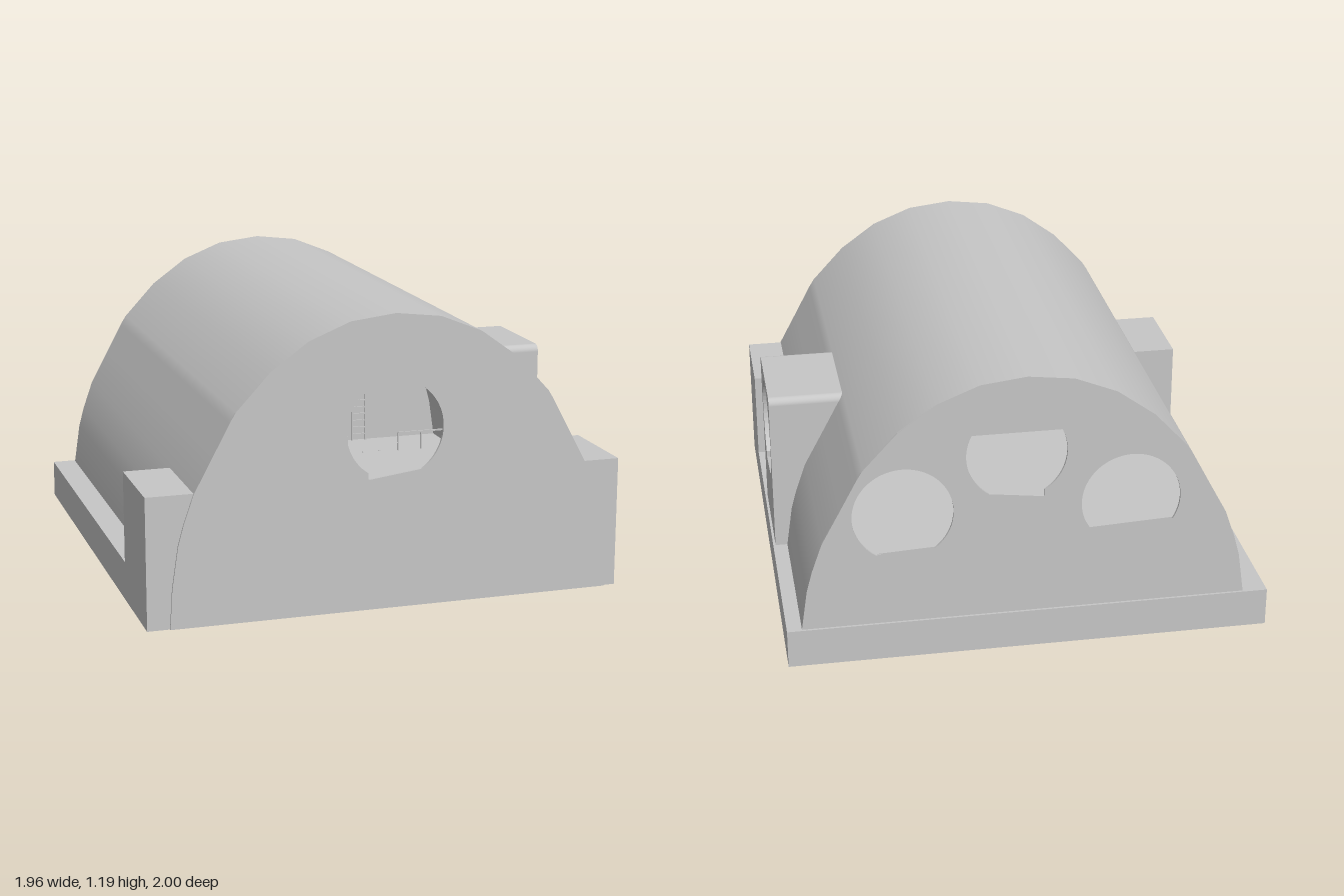
import * as THREE from 'three';

const CX = 0.02; // centre line of the vault
// right half of the vault section, bottom to apex (offset from centre line, height)
const HALF = [[0.91, 0], [0.9, 0.16], [0.875, 0.33], [0.852, 0.415], [0.81, 0.535], [0.737, 0.67],
  [0.665, 0.805], [0.642, 0.842], [0.505, 0.99], [0.353, 1.10], [0.184, 1.168], [0, 1.19]];
const HOLE_LOW = 3, HOLE_HIGH = 6; // section points bounding the side opening

const PROFILE = [
  ...HALF.map(([x, y]) => new THREE.Vector2(CX + x, y)),
  ...HALF.slice(0, -1).reverse().map(([x, y]) => new THREE.Vector2(CX - x, y)),
];

// outer x of the vault at a given height, +x side
function vaultX(y) {
  for (let i = 0; i < HALF.length - 1; i++) {
    const [x0, y0] = HALF[i], [x1, y1] = HALF[i + 1];
    if (y <= y1) return CX + x0 + (x1 - x0) * (y - y0) / (y1 - y0);
  }
  return CX;
}

// round doorway with a flat notched sill
function doorway(cx, cy) {
  const r = 0.2, w = 0.11, a = Math.acos(w / r), p = new THREE.Path();
  p.moveTo(cx + w, cy - 0.195);
  p.absarc(cx, cy, r, -a, Math.PI + a, false);
  p.lineTo(cx - w, cy - 0.195);
  p.closePath();
  return p;
}

// smooth strip of vault between two z values, over section points i0..i1
function vaultStrip(z0, z1, i0, i1) {
  const pos = [], nor = [], idx = [];
  for (let i = i0; i <= i1; i++) {
    const a = PROFILE[Math.max(i - 1, 0)], b = PROFILE[Math.min(i + 1, PROFILE.length - 1)];
    const t = b.clone().sub(a).normalize();
    for (const z of [z0, z1]) {
      pos.push(PROFILE[i].x, PROFILE[i].y, z);
      nor.push(t.y, -t.x, 0);
    }
    const k = (i - i0) * 2;
    if (i < i1) idx.push(k, k + 2, k + 1, k + 1, k + 2, k + 3);
  }
  const g = new THREE.BufferGeometry();
  g.setAttribute('position', new THREE.Float32BufferAttribute(pos, 3));
  g.setAttribute('normal', new THREE.Float32BufferAttribute(nor, 3));
  g.setIndex(idx);
  return g;
}

export function createModel() {
  const root = new THREE.Group();
  root.name = 'vaultedHall';
  const grey = new THREE.MeshStandardMaterial({ color: 0xc6c6c6, side: THREE.DoubleSide });
  grey.name = 'plain grey';

  function add(name, geometry, parent = root) {
    const m = new THREE.Mesh(geometry, grey);
    m.name = name;
    parent.add(m);
    return m;
  }
  function box(name, x0, x1, y0, y1, z0, z1, parent = root) {
    const m = add(name, new THREE.BoxGeometry(x1 - x0, y1 - y0, z1 - z0), parent);
    m.position.set((x0 + x1) / 2, (y0 + y1) / 2, (z0 + z1) / 2);
    return m;
  }
  function group(name) {
    const g = new THREE.Group();
    g.name = name;
    root.add(g);
    return g;
  }

  // base slab and the raised front platform
  box('baseSlab', -0.98, 0.98, 0, 0.16, -1, 0.99);
  box('frontPlatform', -0.98, 0.98, 0, 0.535, 0.6, 0.992);

  // vault shell, left open where the side doorway enters
  const vault = group('vault'), last = PROFILE.length - 1;
  const zBack = -0.99, zFront = 1, h0 = -0.265, h1 = 0.135;
  add('vaultBack', vaultStrip(zBack, h0, 0, last), vault);
  add('vaultBelowDoorway', vaultStrip(h0, h1, 0, HOLE_LOW), vault);
  add('vaultAboveDoorway', vaultStrip(h0, h1, HOLE_HIGH, last), vault);
  add('vaultFront', vaultStrip(h1, zFront, 0, last), vault);

  // end walls with round doorways
  function endWall(name, z, holes) {
    const s = new THREE.Shape(PROFILE);
    s.holes = holes.map(([x, y]) => doorway(x, y));
    const g = new THREE.ExtrudeGeometry(s, { depth: 0.01, bevelEnabled: false, curveSegments: 32 });
    add(name, g).position.z = z;
  }
  endWall('frontWall', zFront - 0.01, [[CX, 0.728]]);
  const backDoors = [[0.51, 0.635], [0.06, 0.865], [-0.4, 0.625]];
  endWall('backWall', zBack, backDoors);

  // side porch: rounded box with a doorway, its inner end following the vault
  const s0 = -0.175, s1 = 0.29, top = 0.84, r = 0.03;
  const porch = new THREE.Shape();
  porch.moveTo(s0, 0.15);
  porch.lineTo(s1, 0.15);
  porch.lineTo(s1, top - r);
  porch.absarc(s1 - r, top - r, r, 0, Math.PI / 2, false);
  porch.absarc(s0 + r, top - r, r, Math.PI / 2, Math.PI, false);
  porch.closePath();
  porch.holes.push(doorway(0.063, 0.607));
  const pg = new THREE.ExtrudeGeometry(porch, { depth: 1, bevelEnabled: false, curveSegments: 24 });
  pg.rotateY(Math.PI / 2);
  const p = pg.attributes.position;
  for (let i = 0; i < p.count; i++) p.setX(i, p.getX(i) > 0.5 ? 0.97 : vaultX(p.getY(i)));
  pg.computeVertexNormals();
  add('sidePorch', pg);

  // ladders from the floor up to each sill
  function ladder(name, x, z, yTop, turn = 0) {
    const g = group(name), w = 0.035, t = 0.004;
    for (const s of [-1, 1]) box('ladderRail', s * w - t, s * w + t, 0.16, yTop, -t, t, g);
    for (let y = 0.19; y < yTop - 0.01; y += 0.034) box('ladderRung', -w, w, y - 0.003, y + 0.003, -t, t, g);
    g.position.set(x, 0, z);
    g.rotation.y = turn;
  }
  for (const [x, y] of backDoors) ladder('backLadder', x + 0.015, -0.97, y - 0.195);
  ladder('platformLadder', 0.06, 0.59, 0.535);
  ladder('sideLadder', 0.8, -0.063, 0.412, Math.PI / 2);

  // railing along the platform edge, with a gap at the ladder
  const railing = group('platformRailing');
  for (const [x0, x1, dir] of [[-0.73, -0.05, -1], [0.17, 0.84, 1]]) {
    box('handRail', x0, x1, 0.606, 0.612, 0.607, 0.613, railing);
    for (let i = 0; i < 7; i++) {
      const x = (dir < 0 ? x1 : x0) + dir * i * 0.1;
      box('railPost', x - 0.003, x + 0.003, 0.53, 0.61, 0.607, 0.613, railing);
    }
  }
  return root;
}
